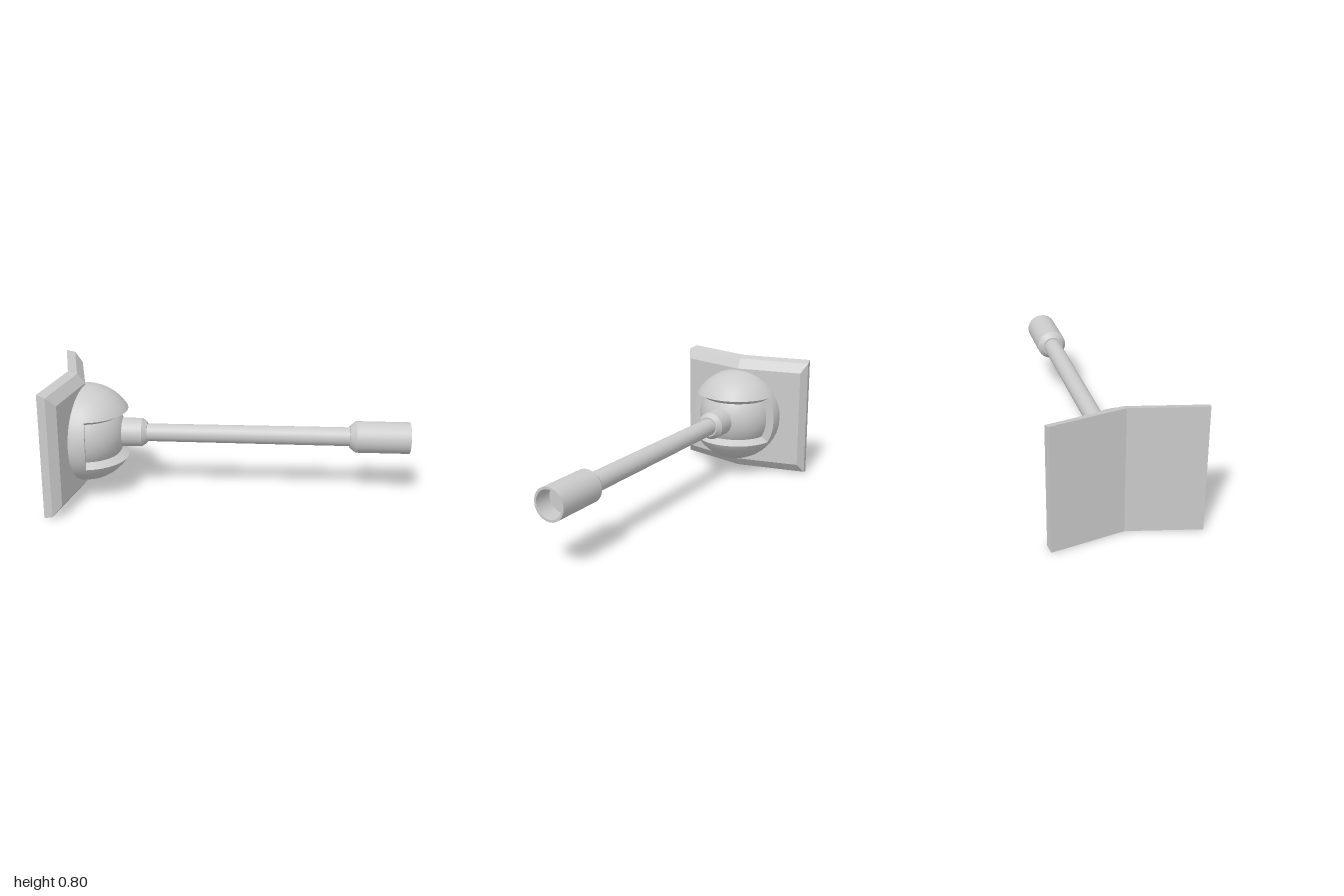
import * as THREE from 'three';

const rad = THREE.MathUtils.degToRad;
const mat = new THREE.MeshStandardMaterial({ color: 0xcccccc, side: THREE.DoubleSide });
const flatMat = new THREE.MeshStandardMaterial({ color: 0xcccccc, flatShading: true });

function add(parent, name, geometry, material = mat) {
  const mesh = new THREE.Mesh(geometry, material);
  mesh.name = name;
  parent.add(mesh);
  return mesh;
}

// Bent corner plate: three rings (back, side, bevelled front), each with left, crease and right columns
function plateGeometry() {
  const rings = [
    { cols: [[-0.97, -0.385], [-0.58, -0.62], [-0.32, -1.0]], inset: 0 },
    { cols: [[-0.945, -0.335], [-0.54, -0.58], [-0.275, -0.97]], inset: 0.015 },
    { cols: [[-0.88, -0.32], [-0.505, -0.547], [-0.26, -0.91]], inset: 0.075 },
  ];
  const loops = rings.map(({ cols, inset }) => [
    ...cols.map(([x, z]) => [x, 0.795 - inset, z]),
    ...cols.slice().reverse().map(([x, z]) => [x, inset, z]),
  ]);
  const pos = [];
  const quad = (a, b, c, d) => pos.push(...a, ...b, ...c, ...a, ...c, ...d);
  for (let r = 0; r < 2; r++) {
    for (let i = 0; i < 6; i++) {
      const j = (i + 1) % 6;
      quad(loops[r][i], loops[r + 1][i], loops[r + 1][j], loops[r][j]);
    }
  }
  const [back, , front] = loops;
  for (const i of [0, 1]) {
    quad(front[i], front[5 - i], front[4 - i], front[i + 1]);
    quad(back[i], back[i + 1], back[4 - i], back[5 - i]);
  }
  const g = new THREE.BufferGeometry();
  g.setAttribute('position', new THREE.Float32BufferAttribute(pos, 3));
  g.computeVertexNormals();
  return g;
}

// Turned part along +z; every straight run is its own lathe so its edges stay sharp
function turned(parent, name, points, sides = 28) {
  const group = new THREE.Group();
  group.name = name;
  for (let i = 0; i < points.length - 1; i++) {
    const pair = [points[i], points[i + 1]].map(([r, d]) => new THREE.Vector2(r, d));
    add(group, name + 'Surface', new THREE.LatheGeometry(pair, sides).rotateX(Math.PI / 2));
  }
  parent.add(group);
}

export function createModel() {
  const model = new THREE.Group();
  model.name = 'cornerMountArm';
  add(model, 'cornerPlate', plateGeometry(), flatMat);

  // Joint and arm share one frame: origin at the ball centre, arm along +z
  const arm = new THREE.Group();
  arm.name = 'jointAndArm';
  arm.position.set(-0.51, 0.4, -0.548);
  arm.rotation.y = rad(43.8);
  model.add(arm);

  // Slotted ball housing
  const R = 0.31, ball = 0.25, reach = 105, slot = 82.5, lat = 30;
  const patch = (name, radius, from, width, ws, top, height, hs) => add(arm, name,
    new THREE.SphereGeometry(radius, ws, hs, rad(90 + from), rad(width), rad(top), rad(height)));
  patch('housingTop', R, -reach, 2 * reach, 28, 0, 90 - lat, 6);
  patch('housingBottom', R, -reach, 2 * reach, 28, 90 + lat, 90 - lat, 6);
  patch('housingSide', R, -reach, reach - slot, 3, 90 - lat, 2 * lat, 6);
  patch('housingSide', R, slot, reach - slot, 3, 90 - lat, 2 * lat, 6);
  patch('innerBall', ball, -reach, 2 * reach, 28, 0, 180, 18);

  // Walls of the slot
  for (const s of [1, -1]) {
    const edge = [ball * 0.98, R].map(r =>
      new THREE.Vector2(r * Math.cos(rad(lat)), s * r * Math.sin(rad(lat))));
    add(arm, 'slotRim', new THREE.LatheGeometry(edge, 22, rad(-slot), rad(2 * slot)));
    const end = new THREE.RingGeometry(ball * 0.98, R, 6, 1, rad(-lat), rad(2 * lat));
    add(arm, 'slotEnd', end.rotateY(rad(s * slot - 90)));
  }

  // Collar, rod and hollow end socket
  turned(arm, 'collar', [[0.09, 0.2], [0.09, 0.357], [0.066, 0.388], [0, 0.388]]);
  turned(arm, 'rod', [[0.056, 0.37], [0.059, 1.68]]);
  turned(arm, 'endSocket', [
    [0, 1.66], [0.07, 1.66], [0.099, 1.697], [0.099, 2.03], [0.085, 2.03], [0.085, 1.92], [0, 1.92],
  ]);
  return model;
}
